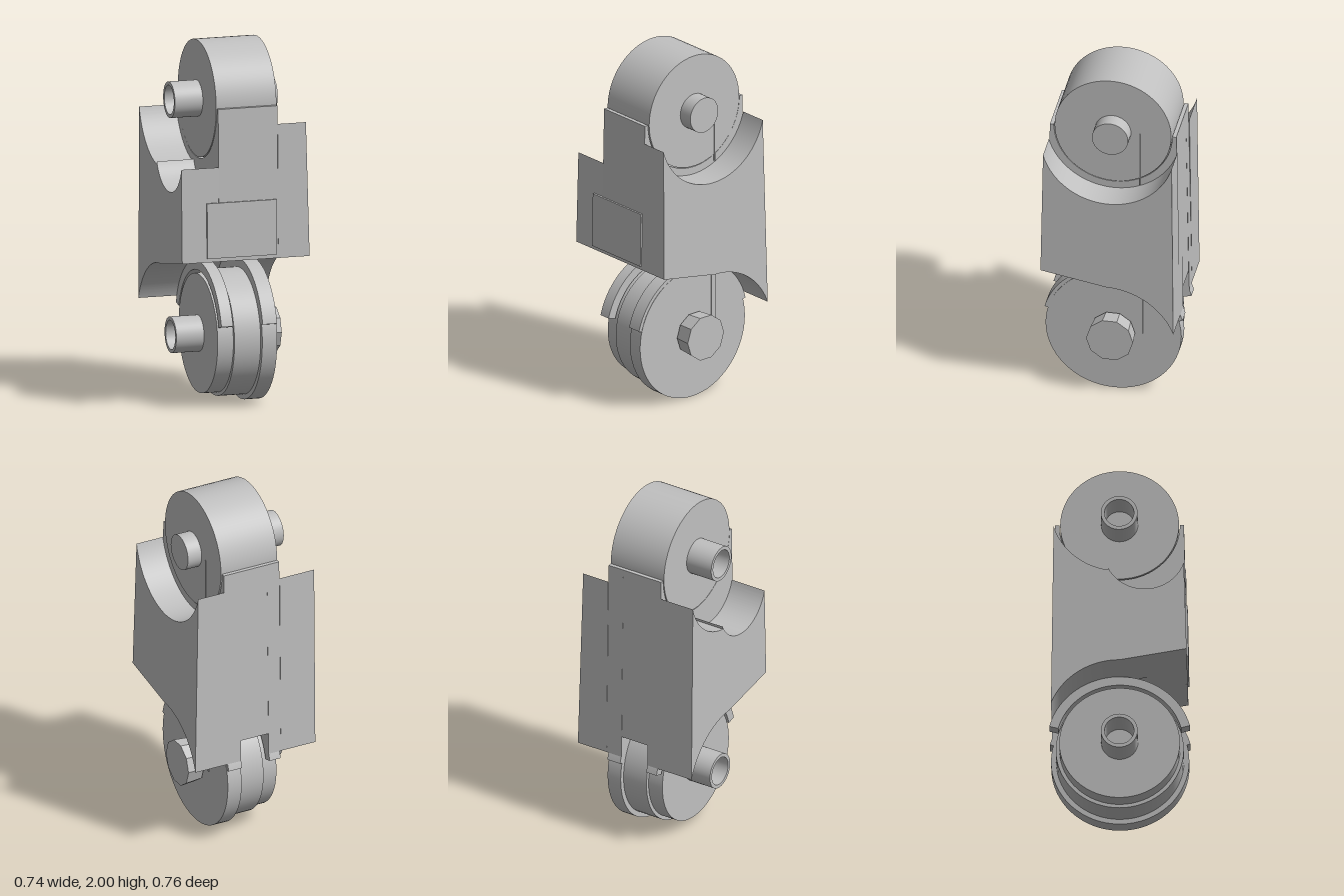
import * as THREE from 'three';
import { toCreasedNormals } from 'three/addons/utils/BufferGeometryUtils.js';

const WHEEL_Y = 0.378, HUB_Y = 1.68;

export function createModel() {
  const model = new THREE.Group();
  const grey = new THREE.MeshStandardMaterial({ color: 0xc0c0c0 });
  grey.name = 'plain grey';

  function add(name, geometry, x = 0, y = 0, z = 0) {
    const mesh = new THREE.Mesh(geometry, grey);
    mesh.name = name;
    mesh.position.set(x, y, z);
    model.add(mesh);
    return mesh;
  }

  // Side profile (u = -z, v = y) pulled across the width from x0 to x1
  function slab(shape, x0, x1) {
    const g = new THREE.ExtrudeGeometry(shape, { depth: x1 - x0, bevelEnabled: false, curveSegments: 40 });
    g.translate(0, 0, x0);
    g.rotateY(Math.PI / 2);
    return toCreasedNormals(g, 0.5);
  }

  // Disc lying on the x axis
  function disc(name, r, x0, x1, y, sides = 64, rInner = r) {
    const g = new THREE.CylinderGeometry(r, rInner, x1 - x0, sides);
    g.rotateZ(-Math.PI / 2);
    return add(name, g, (x0 + x1) / 2, y);
  }

  // Body profile: sloping underside, lower wheel arch, back, then the chosen top
  function bodyShape(top, deepArch) {
    const s = new THREE.Shape();
    s.moveTo(-0.367, 0.84);
    if (deepArch) {
      s.lineTo(-0.155, 0.803);
      s.absarc(0, 0.38, 0.45, 1.919, 0.62, true);
    } else {
      s.lineTo(0, 0.775);
      s.absarc(0, 0.38, 0.395, Math.PI / 2, 0.357, true);
    }
    if (top === 'centre') {
      s.lineTo(0.35, 1.68);
      s.absarc(0, HUB_Y, 0.328, 0, Math.PI, true);
      s.lineTo(-0.35, 1.68);
    } else if (top === 'notched') {
      s.absarc(0, HUB_Y, 0.37, -0.274, -1.408, true);
      s.absarc(-0.14, 1.42, 0.22, -0.42, -(Math.PI - 0.28), true);
    } else {
      s.absarc(0, HUB_Y, 0.37, -0.274, -(Math.PI - 0.274), true);
    }
    s.closePath();
    return s;
  }

  // Body, in slices across its width
  add('bodyRightSide', slab(bodyShape('notched', false), -0.372, -0.16));
  add('bodyCentreRight', slab(bodyShape('centre', false), -0.16, -0.085));
  add('bodyCentre', slab(bodyShape('centre', true), -0.085, 0.085));
  add('bodyCentreLeft', slab(bodyShape('centre', false), 0.085, 0.18));

  // The left side leans inwards towards the top
  const side = slab(bodyShape('plain', false), 0.18, 0.365);
  const p = side.attributes.position;
  for (let i = 0; i < p.count; i++) {
    if (p.getX(i) > 0.3) p.setX(i, 0.342 + (1.58 - p.getY(i)) * 0.024);
  }
  add('bodyLeftSide', side);

  // Raised panel on the front, following the slope of the face
  const panel = new THREE.BoxGeometry(0.4, 0.305, 0.012);
  add('frontPanel', panel, -0.03, 1.013, 0.367).rotation.x = -0.015;

  // Curved guards either side of the lower wheel
  const a = 0.256;
  const guard = new THREE.Shape();
  guard.absarc(0, 0.38, 0.395, a, Math.PI - a, false);
  guard.absarc(0, 0.38, 0.345, Math.PI - a, a, true);
  guard.closePath();
  add('rightGuard', slab(guard, -0.152, -0.085));
  add('leftGuard', slab(guard, 0.085, 0.168));

  // Upper wheel, and the three steps of the lower wheel
  disc('upperWheel', 0.323, -0.162, 0.184, HUB_Y);
  disc('lowerWheelRight', 0.328, -0.155, -0.065, WHEEL_Y);
  disc('lowerWheelMiddle', 0.348, -0.065, 0.085, WHEEL_Y);
  disc('lowerWheelLeft', 0.376, 0.085, 0.17, WHEEL_Y);

  // Axle pins, hollow at the right end
  function pin(name, x0, x1, y) {
    const outline = [[0, 0], [0.08, 0], [0.08, x0], [0.1, x0], [0.1, x1], [0, x1]];
    const g = new THREE.LatheGeometry(outline.map(([r, h]) => new THREE.Vector2(r, h)), 40);
    g.rotateZ(-Math.PI / 2);
    add(name, toCreasedNormals(g, 0.5), 0, y);
  }
  pin('upperPin', -0.322, 0.268, HUB_Y);
  pin('lowerPin', -0.314, 0.27, WHEEL_Y);

  // Faceted nut on the lower pin
  const nut = disc('lowerNut', 0.13, 0.183, 0.281, WHEEL_Y, 10, 0.122);
  nut.geometry = toCreasedNormals(nut.geometry, 0.1);

  // Thin ribs beside the wheels
  add('upperRib', new THREE.BoxGeometry(0.012, 0.33, 0.008), 0.182, 1.515, -0.148);
  add('lowerRib', new THREE.BoxGeometry(0.014, 0.33, 0.03), 0.169, 0.54, -0.148);

  return model;
}
